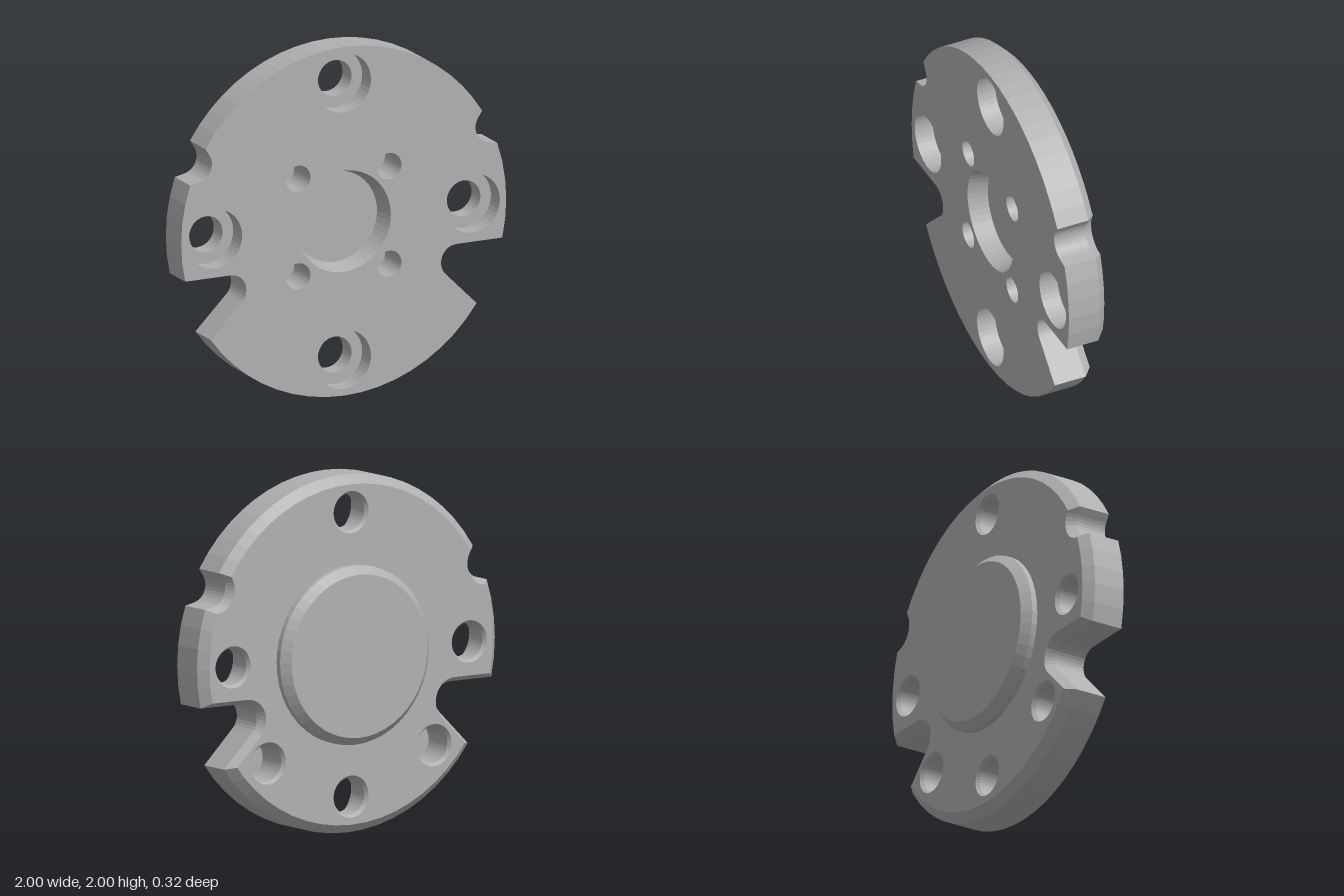
import * as THREE from 'three';

const FRONT = 0.16, BACK = -0.08, BOSS_BACK = -0.16;
const DEG = Math.PI / 180;

// Points along an arc, angles in degrees
function arc(cx, cy, r, from, to, n) {
  return Array.from({ length: n + 1 }, (_, i) => {
    const a = (from + (to - from) * i / n) * DEG;
    return new THREE.Vector2(cx + r * Math.cos(a), cy + r * Math.sin(a));
  });
}

// Closed circle, counter-clockwise seen from the front
const circle = (x, y, r, n = 40) => arc(x, y, r, 0, 360, n).slice(0, -1);

// Plate outline: one half of the rim with its two notches, then its mirror
function plateOutline() {
  const half = [
    ...arc(0, 0, 1, -90, -35.1, 9),
    ...arc(0.695, -0.316, 0.096, 225, 90, 12),
    ...arc(0, 0, 1, -12.7, 19.1, 5),
    ...arc(0.907, 0.433, 0.096, 262, 150, 10),
    ...arc(0, 0, 1, 31.6, 90, 10),
  ];
  const mirrored = half.slice(1, -1).reverse().map(p => new THREE.Vector2(-p.x, p.y));
  return [...half, ...mirrored];
}

// Outline moved inwards: wider chamfer on the rim than in the notches
function insetOutline(pts) {
  const n = pts.length;
  const edge = i => {
    const p = pts[(i + n) % n], q = pts[(i + 1) % n];
    const t = q.clone().sub(p).normalize();
    const onRim = p.length() > 0.99 && q.length() > 0.99;
    return { x: -t.y, y: t.x, d: onRim ? 0.05 : 0.03 };
  };
  return pts.map((p, i) => {
    const a = edge(i - 1), b = edge(i);
    const det = a.x * b.y - a.y * b.x;
    if (Math.abs(det) < 1e-3) return new THREE.Vector2(p.x + a.x * a.d, p.y + a.y * a.d);
    return new THREE.Vector2(
      p.x + (a.d * b.y - b.d * a.y) / det,
      p.y + (a.x * b.d - b.x * a.d) / det);
  });
}

// Faceted wall through a list of [points, z] loops.
// Front-to-back order faces outwards, back-to-front order faces inwards.
function loft(loops) {
  const pos = [];
  for (let k = 0; k + 1 < loops.length; k++) {
    const [A, za] = loops[k], [B, zb] = loops[k + 1];
    for (let i = 0; i < A.length; i++) {
      const j = (i + 1) % A.length;
      const a = [A[i].x, A[i].y, za], b = [B[i].x, B[i].y, zb];
      const c = [B[j].x, B[j].y, zb], d = [A[j].x, A[j].y, za];
      pos.push(...a, ...b, ...c, ...a, ...c, ...d);
    }
  }
  const g = new THREE.BufferGeometry();
  g.setAttribute('position', new THREE.Float32BufferAttribute(pos, 3));
  g.computeVertexNormals();
  return g;
}

// Round wall from a [radius, z] profile
const turned = (x, y, profile, n) => loft(profile.map(([r, z]) => [circle(x, y, r, n), z]));

// Flat face with round openings
function face(outline, openings) {
  const shape = new THREE.Shape(outline);
  shape.holes = openings.map(pts => new THREE.Path(pts));
  return new THREE.ShapeGeometry(shape);
}

export function createModel() {
  const metal = new THREE.MeshStandardMaterial({ color: 0xb0b0b0 });
  metal.name = 'grey metal';
  const model = new THREE.Group();
  model.name = 'flangePlate';
  model.position.y = 1;
  const add = (name, geometry) => {
    const mesh = new THREE.Mesh(geometry, metal);
    mesh.name = name;
    model.add(mesh);
    return mesh;
  };

  const bolts = [[0.793, 0], [0, 0.793], [-0.793, 0], [0, -0.793]];
  const pins = [[0.28, 0.28], [-0.28, 0.28], [-0.28, -0.28], [0.28, -0.28]];
  const sockets = [[0.557, -0.557], [-0.557, -0.557]];

  // Plate body
  const outline = plateOutline();
  const inset = insetOutline(outline);
  add('plateRim', loft([[outline, FRONT], [outline, -0.03], [inset, BACK]]));
  add('frontFace', face(outline, [
    ...bolts.map(([x, y]) => circle(x, y, 0.168)),
    ...pins.map(([x, y]) => circle(x, y, 0.075)),
    circle(0, 0, 0.29, 48),
  ])).position.z = FRONT;
  const backFace = add('backFace', face(inset, [
    ...[...bolts, ...sockets].map(([x, y]) => circle(x, y, 0.118)),
    circle(0, 0, 0.5, 48),
  ]));
  backFace.rotation.y = Math.PI;
  backFace.position.z = BACK;

  // Counterbored bolt holes, countersunk at the back
  for (const [x, y] of bolts) {
    add('boltHole', turned(x, y,
      [[0.118, BACK], [0.103, -0.06], [0.103, 0.05], [0.168, 0.05], [0.168, FRONT]]));
  }
  // Blind pin holes in the front
  for (const [x, y] of pins) {
    add('pinHole', turned(x, y, [[0, -0.04], [0.075, -0.04], [0.075, FRONT]]));
  }
  // Blind sockets in the back
  for (const [x, y] of sockets) {
    add('backSocket', turned(x, y, [[0.118, BACK], [0.103, -0.06], [0.103, 0.12], [0, 0.12]]));
  }

  // Tapered centre recess and chamfered rear boss
  add('centreRecess', turned(0, 0, [[0, 0.05], [0.26, 0.05], [0.29, FRONT]], 48));
  add('rearBoss', turned(0, 0,
    [[0.5, BACK], [0.5, -0.113], [0.455, BOSS_BACK], [0, BOSS_BACK]], 48));

  return model;
}
